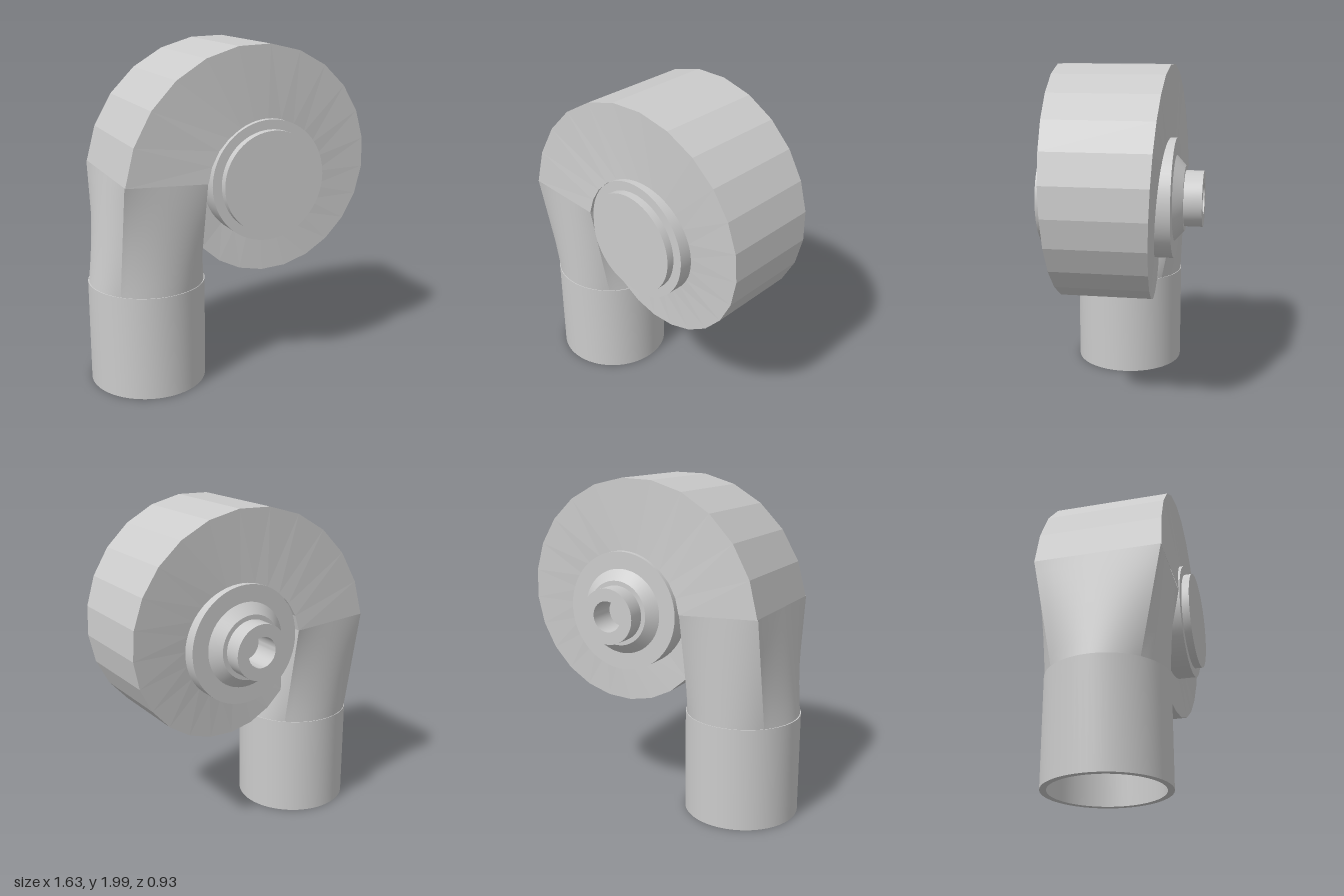
import * as THREE from 'three';
import { toCreasedNormals } from 'three/addons/utils/BufferGeometryUtils.js';

const HUB = { x: 0.14, y: 1.23 };            // axis of the scroll
const DUCT = { x: -0.48, z: 0.06, r: 0.345 }; // axis of the outlet pipe
const MID_Z = 0.0575;

function makeMesh(name, geometry, flatShading = false) {
  const material = new THREE.MeshStandardMaterial({ color: 0xcccccc, side: THREE.DoubleSide, flatShading });
  const mesh = new THREE.Mesh(geometry, material);
  mesh.name = name;
  return mesh;
}

// Indexed surface through rows of equally many points
function skin(rows) {
  const n = rows[0].length, index = [];
  for (let i = 0; i < rows.length - 1; i++)
    for (let j = 0; j < n - 1; j++) {
      const a = i * n + j, b = a + n;
      index.push(a, b, a + 1, b, b + 1, a + 1);
    }
  const g = new THREE.BufferGeometry();
  g.setAttribute('position', new THREE.Float32BufferAttribute(rows.flat(2), 3));
  g.setIndex(index);
  g.computeVertexNormals();
  return g;
}

function lathe(points, segments) {
  const g = new THREE.LatheGeometry(points.map(([r, y]) => new THREE.Vector2(r, y)), segments);
  return toCreasedNormals(g, 0.5);
}

// Spiral casing: a rectangular section that shrinks as it winds round the hub
function scrollCasing() {
  const steps = 21, rows = [];
  const section = (angle, outer, inner, half) => {
    const at = (r, z) => [HUB.x + r * Math.cos(angle), HUB.y + r * Math.sin(angle), MID_Z + z];
    return [at(outer, half), at(outer, -half), at(inner, -half), at(inner, half), at(outer, half)];
  };
  for (let i = 0; i <= steps; i++) {
    const t = i / steps;
    const angle = THREE.MathUtils.degToRad(177 - 309 * t);
    const outer = 0.855 - 0.325 * t;
    const inner = Math.max(0.345, 0.376 - 0.15 * t);
    rows.push(section(angle, outer, inner, 0.426 * outer));
  }
  // upright tongue wall back to the hub
  rows.push(section(-Math.PI, 0.357, 0.345, 0.226));
  return skin(rows);
}

// One side of the square-to-round transition; side k is centred on angle k * 90 degrees
function transitionSide(k) {
  const rows = [], nu = 14, nv = 8;
  for (let v = 0; v <= nv; v++) {
    const t = v / nv, row = [];
    for (let u = 0; u <= nu; u++) {
      const s = (u / nu) * 2 - 1;
      const a = k * Math.PI / 2 + s * Math.PI / 4;
      const c = Math.round(Math.cos(k * Math.PI / 2)), d = Math.round(Math.sin(k * Math.PI / 2));
      const squareX = -0.477 + 0.24 * (c - d * s), squareZ = MID_Z + 0.3625 * (d + c * s);
      const topY = 1.265 - 0.06 * (squareX + 0.477);
      row.push([
        THREE.MathUtils.lerp(DUCT.x + 0.34 * Math.cos(a), squareX, t),
        THREE.MathUtils.lerp(0.61, topY, t),
        THREE.MathUtils.lerp(DUCT.z + 0.34 * Math.sin(a), squareZ, t),
      ]);
    }
    rows.push(row);
  }
  return skin(rows);
}

export function createModel() {
  const model = new THREE.Group();
  model.name = 'blower';

  model.add(makeMesh('scrollCasing', scrollCasing(), true));

  // Hub with front cover, rear cone and hollow shaft sleeve
  const hub = makeMesh('hub', lathe([
    [0, -0.3], [0.09, -0.3], [0.09, -0.465], [0.163, -0.465], [0.163, -0.36], [0.19, -0.36],
    [0.25, -0.305], [0.35, -0.305], [0.35, 0.42], [0.295, 0.42], [0.295, 0.465], [0, 0.465],
  ], 64));
  hub.rotation.x = Math.PI / 2;
  hub.position.set(HUB.x, HUB.y, 0);
  model.add(hub);

  // Square-to-round duct
  const transition = new THREE.Group();
  transition.name = 'transitionDuct';
  for (let k = 0; k < 4; k++) transition.add(makeMesh('transitionSide', transitionSide(k)));
  model.add(transition);

  // Hollow round pipe
  const pipe = makeMesh('outletPipe', lathe([
    [0.31, 0.62], [0.31, 0], [DUCT.r, 0], [DUCT.r, 0.62], [0.31, 0.62],
  ], 64));
  pipe.position.set(DUCT.x, 0, DUCT.z);
  model.add(pipe);

  return model;
}
